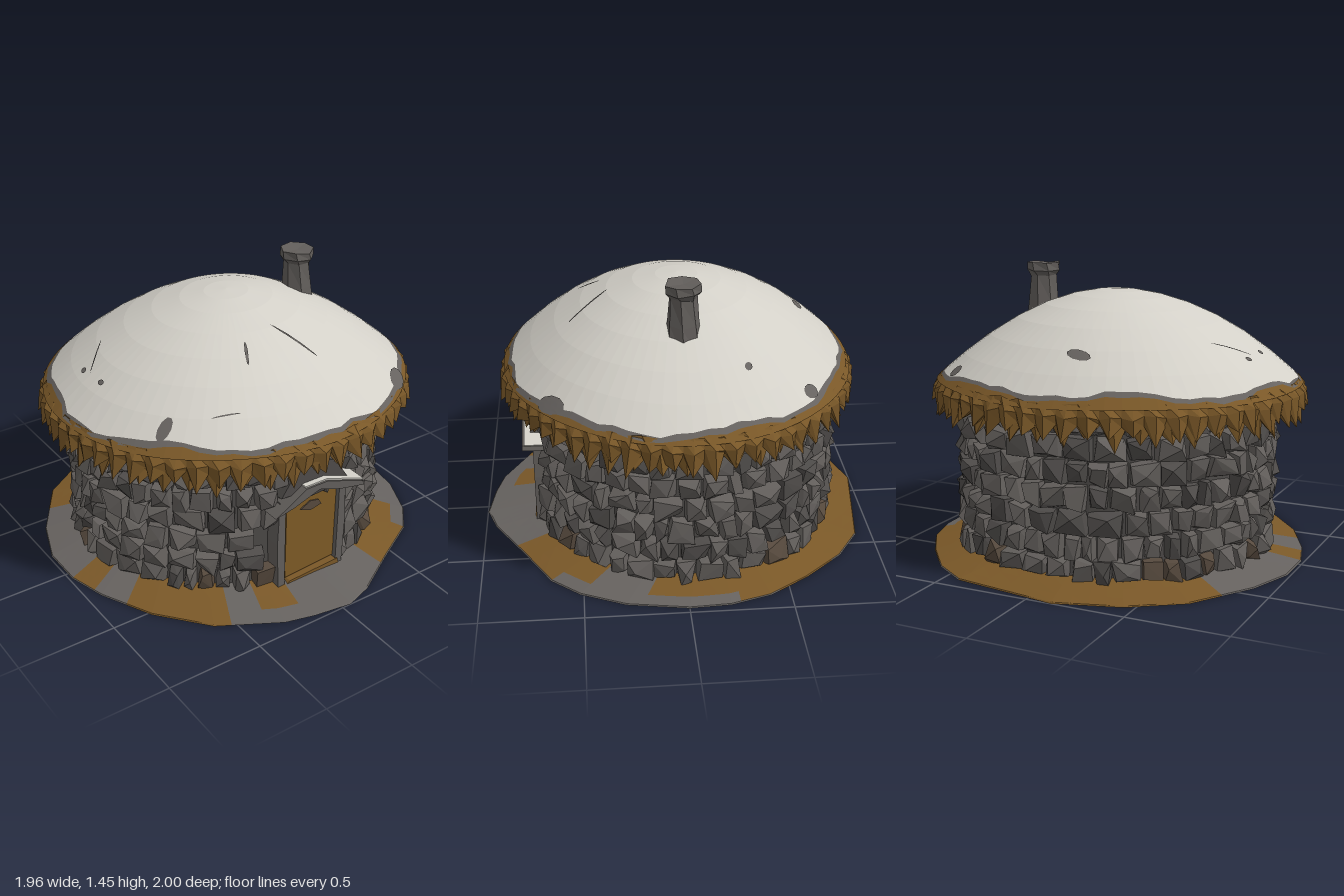
import * as THREE from 'three';
import { mergeGeometries } from 'three/addons/utils/BufferGeometryUtils.js';
import { ConvexGeometry } from 'three/addons/geometries/ConvexGeometry.js';

const TAU = Math.PI * 2;

// Small seeded random, returning a value in [-1, 1]
let seed = 7;
function jit(amount = 1) {
  seed = (seed * 1664525 + 1013904223) >>> 0;
  return (seed / 2147483648 - 1) * amount;
}

function flat(name, color) {
  const m = new THREE.MeshStandardMaterial({ color, flatShading: true });
  m.name = name;
  return m;
}
const mats = {
  snow: flat('snow', 0xd3d0c8),
  grey: flat('slate grey', 0x66625f),
  stone: flat('wall stone', 0x625e5b),
  dark: flat('dark stone', 0x4e4b49),
  mud: flat('muddy stone', 0x574a3e),
  thatch: flat('thatch brown', 0x7a5828),
  wood: flat('door wood', 0x7d5a26),
};

function addMesh(group, name, geometry, mat) {
  const mesh = new THREE.Mesh(geometry, mats[mat]);
  mesh.name = name;
  group.add(mesh);
  return mesh;
}

// Skin closed rings (lowest first); pick(ring, segment) gives the colour of each quad
function loft(group, name, rings, pick) {
  const buckets = {};
  const n = rings[0].length;
  for (let i = 0; i < rings.length - 1; i++) {
    for (let j = 0; j < n; j++) {
      const k = (j + 1) % n;
      const a = rings[i][j], b = rings[i + 1][j], c = rings[i + 1][k], d = rings[i][k];
      const list = (buckets[pick(i, j)] ??= []);
      list.push(...a, ...b, ...c, ...a, ...c, ...d);
    }
  }
  for (const [mat, list] of Object.entries(buckets)) {
    const g = new THREE.BufferGeometry();
    g.setAttribute('position', new THREE.Float32BufferAttribute(list, 3));
    g.computeVertexNormals();
    addMesh(group, name, g, mat);
  }
}

const ring = (n, fn) => Array.from({ length: n }, (_, j) => fn((j / n) * TAU, j));

// Domed roof surface
const RX = 0.95, RZ = 0.88, RCZ = -0.015;
function roofY(x, z) {
  const r2 = (x / RX) ** 2 + ((z - RCZ) / RZ) ** 2;
  return 0.88 + 0.445 * (1 - r2) + 0.008 * Math.sin(5 * x + 1) * Math.sin(4 * z + 2);
}
function roofPoint(rho, a) {
  const x = RX * rho * Math.cos(a), z = RCZ + RZ * rho * Math.sin(a);
  return [x, roofY(x, z), z];
}

function buildRoof(group) {
  const n = 72;
  const back = (a) => Math.max(0, -Math.sin(a));
  const edge = ring(n, (a) => 0.955 - 0.025 * back(a) + 0.012 * Math.sin(a * 7) + jit(0.012));
  const rings = [
    ring(n, (a) => roofPoint(1, a)),
    ring(n, (a, j) => roofPoint(Math.min(0.99, edge[j] + 0.022 + jit(0.008)), a)),
    ring(n, (a, j) => roofPoint(edge[j], a)),
    ...[0.84, 0.7, 0.55, 0.4, 0.25, 0.12, 0].map((r) => ring(n, (a) => roofPoint(r, a))),
  ];
  loft(group, 'roof', rings, (i) => ['thatch', 'grey'][i] ?? 'snow');

  // Bare patches and cracks in the snow: x, z, half length, half width, turn
  const spots = [
    [-0.1, -0.65, 0.065, 0.025, 0.1], [0.61, -0.6, 0.045, 0.028, 0.7], [0.61, -0.3, 0.022, 0.016, 0.6],
    [-0.75, 0.03, 0.012, 0.02, 0], [-0.75, -0.14, 0.012, 0.02, 0.3], [-0.67, 0.47, 0.05, 0.03, -0.3],
    [0.6, 0.62, 0.085, 0.035, -0.75], [0.09, 0.43, 0.125, 0.006, 1.0], [-0.18, 0.42, 0.06, 0.008, -1.1],
    [-0.67, -0.16, 0.11, 0.003, -0.8], [-0.42, 0.6, 0.07, 0.003, 0.4],
  ];
  for (const [x, z, l, w, t] of spots) {
    const at = (s, a) => {
      const u = l * s * Math.cos(a), v = w * s * Math.sin(a);
      const px = x + u * Math.cos(t) - v * Math.sin(t), pz = z + u * Math.sin(t) + v * Math.cos(t);
      return [px, roofY(px, pz) + 0.005, pz];
    };
    loft(group, 'barePatch', [1, 0.5, 0].map((s) => ring(10, (a) => at(s, a))), () => 'grey');
  }
}

// Ragged straw hanging around the eaves, in two overlapping layers
function buildThatch(group) {
  for (const [teeth, out, tip, turn] of [[58, 1.02, 0.735, 0], [47, 0.995, 0.715, 0.04]]) {
    const n = teeth * 2;
    const at = (rho, y, a) => [RX * rho * Math.cos(a + turn), y, RCZ + RZ * rho * Math.sin(a + turn)];
    const isTip = (j) => j % 2 === 0;
    loft(group, 'thatchFringe', [
      ring(n, (a) => at(0.84, 0.86, a)),
      ring(n, (a, j) => isTip(j) ? at(out + jit(0.018), tip + jit(0.035), a + jit(0.02)) : at(out - 0.035, 0.805 + jit(0.02), a)),
      ring(n, (a, j) => at(isTip(j) ? out : out - 0.025, 0.85 + jit(0.012), a)),
      ring(n, (a) => at(out - 0.045, 0.9 + jit(0.01), a)),
    ], () => 'thatch');
  }
}

// Round wall of rough stones over a solid core, with a gap for the door
const WX = 0.785, WZ = 0.745, WCZ = -0.045;
function buildWall(group) {
  const core = new THREE.CylinderGeometry(1, 1, 0.86, 48, 1, true).scale(WX - 0.02, 1, WZ - 0.02).translate(0, 0.45, WCZ);
  addMesh(group, 'wallCore', core, 'dark');
  const stones = { stone: [], dark: [], mud: [] };
  const rows = 7, h = 0.117;
  for (let r = 0; r < rows; r++) {
    const y0 = 0.035 + r * h;
    let a = r * 0.37;
    const end = a + TAU;
    while (a < end - 0.02) {
      const w = Math.min(0.155 + jit(0.06), end - a);
      const mid = a + w / 2;
      const x = WX * Math.cos(mid);
      const atDoor = Math.sin(mid) > 0 && Math.abs(x) < 0.15 + w * 0.38 && y0 < 0.5;
      if (!atDoor) {
        const pts = [];
        const put = (ang, y, d) => pts.push(new THREE.Vector3(
          (WX + d) * Math.cos(ang), y, WCZ + (WZ + d) * Math.sin(ang)));
        for (const s of [0, 1]) for (const v of [0, 1]) {
          put(a + s * w, y0 + v * h, -0.06);
          put(a + s * w + (0.5 - s) * 0.03 + jit(0.018), y0 + v * h + (0.5 - v) * 0.02 + jit(0.018), 0.025 + jit(0.025));
        }
        put(mid + jit(0.04), y0 + h / 2 + jit(0.035), 0.05 + jit(0.02));
        const pickValue = jit();
        const kind = r === 0 && pickValue > 0.6 ? 'mud' : pickValue < -0.6 ? 'dark' : 'stone';
        stones[kind].push(new ConvexGeometry(pts));
      }
      a += w;
    }
  }
  for (const [kind, list] of Object.entries(stones)) {
    if (list.length) addMesh(group, 'wallStones', mergeGeometries(list), kind);
  }
}

// Extrude an outline of [x, y] points between two depths
function slab(group, name, pts, z0, z1, mat) {
  const shape = new THREE.Shape(pts.map(([x, y]) => new THREE.Vector2(x, y)));
  const g = new THREE.ExtrudeGeometry(shape, { depth: z1 - z0, bevelEnabled: false }).translate(0, 0, z0);
  addMesh(group, name, g, mat);
}

function buildDoor(group) {
  slab(group, 'doorRecess', [[-0.2, 0.04], [0.2, 0.04], [0.2, 0.56], [0.02, 0.61], [-0.2, 0.56]], 0.62, 0.695, 'dark');
  slab(group, 'door', [[-0.14, 0.06], [0.16, 0.08], [0.165, 0.5], [0.06, 0.56], [0, 0.57], [-0.14, 0.51]], 0.66, 0.71, 'wood');
  slab(group, 'doorHandle', [[-0.06, 0.44], [0, 0.415], [0.07, 0.43], [0.05, 0.46], [0, 0.47]], 0.708, 0.716, 'mud');
  slab(group, 'doorSill', [[-0.16, 0.03], [0.18, 0.03], [0.17, 0.07], [-0.13, 0.055]], 0.66, 0.74, 'thatch');
  for (const s of [-1, 1]) {
    slab(group, 'doorJamb', [[s * 0.16, 0.04], [s * 0.2, 0.04], [s * 0.21, 0.3], [s * 0.2, 0.54], [s * 0.165, 0.52]], 0.64, 0.735, 'stone');
  }
  // Stone canopy with a thin snow cover
  slab(group, 'canopy', [[-0.26, 0.5], [-0.15, 0.525], [0, 0.575], [0.13, 0.53], [0.28, 0.5], [0.27, 0.525], [0.05, 0.605], [-0.08, 0.605]], 0.64, 0.785, 'stone');
  slab(group, 'canopySnow', [[0.275, 0.524], [0.28, 0.532], [0.05, 0.613], [-0.08, 0.613], [-0.08, 0.605], [0.05, 0.605]], 0.66, 0.775, 'snow');
  slab(group, 'gableStone', [[-0.2, 0.57], [0.2, 0.56], [0.12, 0.68], [0, 0.72], [-0.11, 0.7]], 0.64, 0.745, 'dark');
}

// Low earth mound with an irregular outline and patches of mud
function buildGround(group) {
  const outline = [[0.97, 0], [0.92, 0.3], [0.82, 0.52], [0.7, 0.66], [0.45, 0.8], [0.2, 0.95], [0.05, 1], [-0.15, 0.97],
    [-0.3, 0.93], [-0.6, 0.76], [-0.8, 0.52], [-0.93, 0.25], [-0.985, 0.05], [-0.985, -0.18], [-0.9, -0.42], [-0.7, -0.73],
    [-0.45, -0.9], [-0.13, -1], [0.42, -0.92], [0.6, -0.8], [0.77, -0.6], [0.9, -0.4], [0.96, -0.2]];
  const sub = 4;
  const rim = outline.flatMap(([x, z], i) => {
    const [x2, z2] = outline[(i + 1) % outline.length];
    return Array.from({ length: sub }, (_, k) => [x + ((x2 - x) * k) / sub, z + ((z2 - z) * k) / sub]);
  });
  const level = (t, y) => rim.map(([x, z]) => {
    const a = Math.atan2(z, x);
    return [x + (0.76 * Math.cos(a) - x) * t, y, z + (WCZ + 0.72 * Math.sin(a) - z) * t];
  });
  // Muddy stretches: from and to in degrees, first and last band
  const muddy = [[-145, -72, 0, 4], [-72, -15, 1, 4], [-50, -30, 0, 4], [-15, 12, 2, 4], [30, 42, 2, 4],
    [42, 62, 1, 4], [100, 112, 2, 4], [122, 152, 0, 4], [165, 176, 1, 4]];
  const pick = (i, j) => {
    const deg = (Math.atan2(rim[j][1], rim[j][0]) * 180) / Math.PI;
    return muddy.some(([f, t, lo, hi]) => deg >= f && deg < t && i - 1 >= lo && i - 1 <= hi) ? 'thatch' : 'grey';
  };
  const rings = [rim.map(() => [0, 0, 0]), level(0, 0), level(0.02, 0.006), level(0.3, 0.02), level(0.6, 0.035), level(1, 0.055)];
  loft(group, 'ground', rings, pick);
}

function buildChimney(group) {
  const profile = [[0.095, 1.1, 0.01], [0.078, 1.25, 0.005], [0.068, 1.38, 0], [0.088, 1.41, 0], [0.086, 1.445, 0], [0, 1.44, 0]];
  const rings = profile.map(([r, y, dx], i) => ring(7, (a) => [
    0.435 + dx + r * Math.cos(a + i * 0.12), y + (r ? jit(0.006) : 0), -0.01 + r * Math.sin(a + i * 0.12)]));
  loft(group, 'chimney', rings, () => 'stone');
}

export function createModel() {
  seed = 7;
  const model = new THREE.Group();
  model.name = 'stoneHut';
  const parts = { ground: buildGround, wall: buildWall, entrance: buildDoor, eaves: buildThatch, roof: buildRoof, chimney: buildChimney };
  for (const [name, build] of Object.entries(parts)) {
    const g = new THREE.Group();
    g.name = name;
    build(g);
    model.add(g);
  }
  return model;
}
